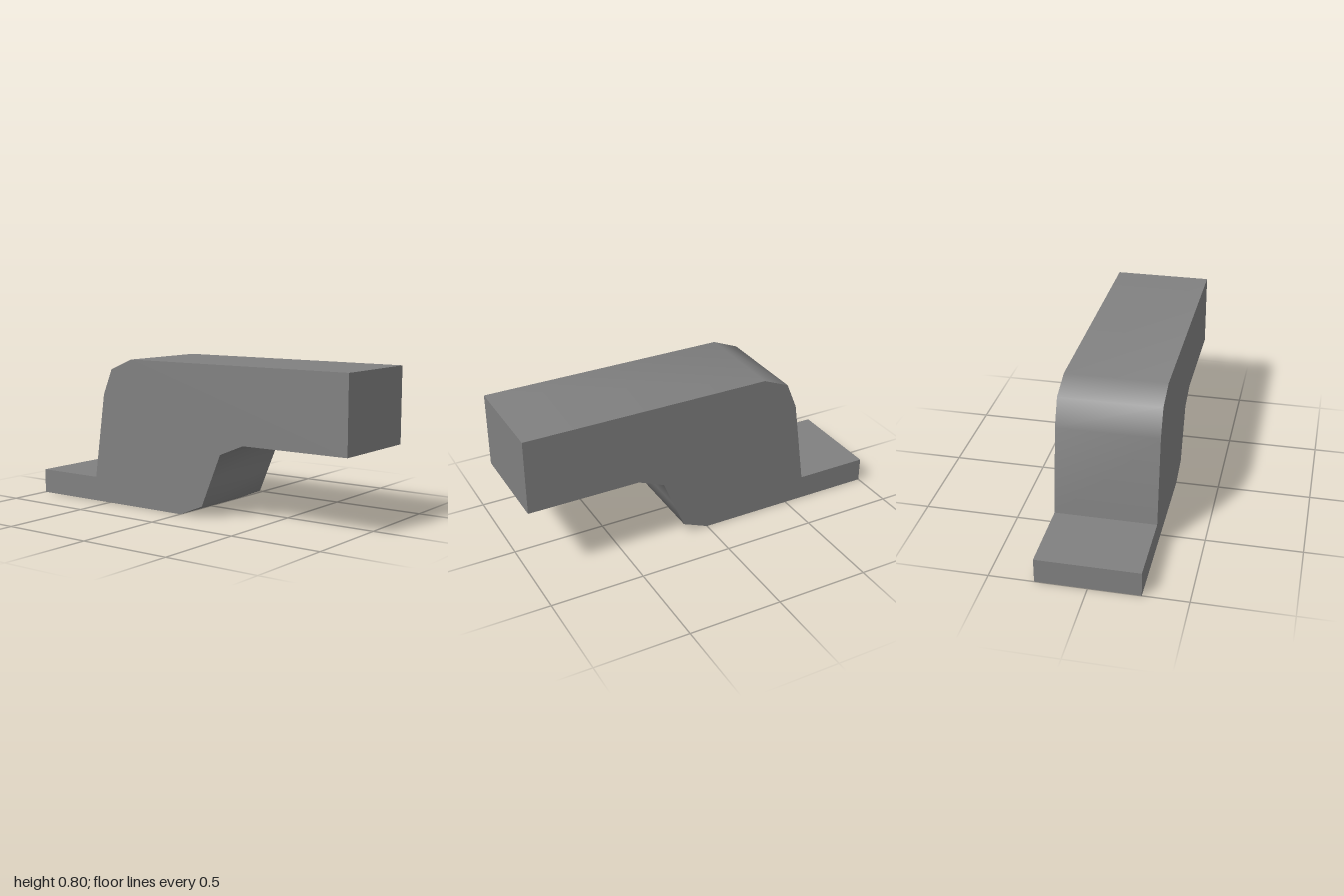
import * as THREE from 'three';
import { toCreasedNormals } from 'three/addons/utils/BufferGeometryUtils.js';

const WIDTH = 0.533;
const R = 0.2; // bend radius

// Points of a quarter bend in two 45 degree steps, around (cx, cy)
function bend(cx, cy, startDeg, stepDeg) {
  return [0, 1, 2].map((i) => {
    const a = THREE.MathUtils.degToRad(startDeg + i * stepDeg);
    return new THREE.Vector2(cx + R * Math.cos(a), cy + R * Math.sin(a));
  });
}

export function createModel() {
  const group = new THREE.Group();
  group.name = 'steppedBracket';
  const grey = new THREE.MeshStandardMaterial({ color: 0x808080 });
  grey.name = 'grey';

  // Side profile: horizontal axis runs from front (-1) to back (+1)
  const profile = new THREE.Shape([
    new THREE.Vector2(-1, 0.4),
    ...bend(-0.4, 0.2, 90, -45), // inner bend under the arm
    ...bend(0, 0.2, 180, 45).slice(1), // lower front bend
    new THREE.Vector2(1, 0),
    new THREE.Vector2(1, 0.133), // thin rear foot
    new THREE.Vector2(0.6, 0.133),
    ...bend(0.333, 0.6, 0, 45), // upper rear bend
    new THREE.Vector2(-1, 0.8),
  ]);

  // Extrude across the width, then turn the profile to face sideways
  const geometry = new THREE.ExtrudeGeometry(profile, { depth: WIDTH, bevelEnabled: false });
  geometry.translate(0, 0, -WIDTH / 2);
  geometry.rotateY(Math.PI / 2);

  // Smooth across the bends, sharp at the corners
  const body = new THREE.Mesh(toCreasedNormals(geometry, THREE.MathUtils.degToRad(55)), grey);
  body.name = 'body';
  group.add(body);
  return group;
}
